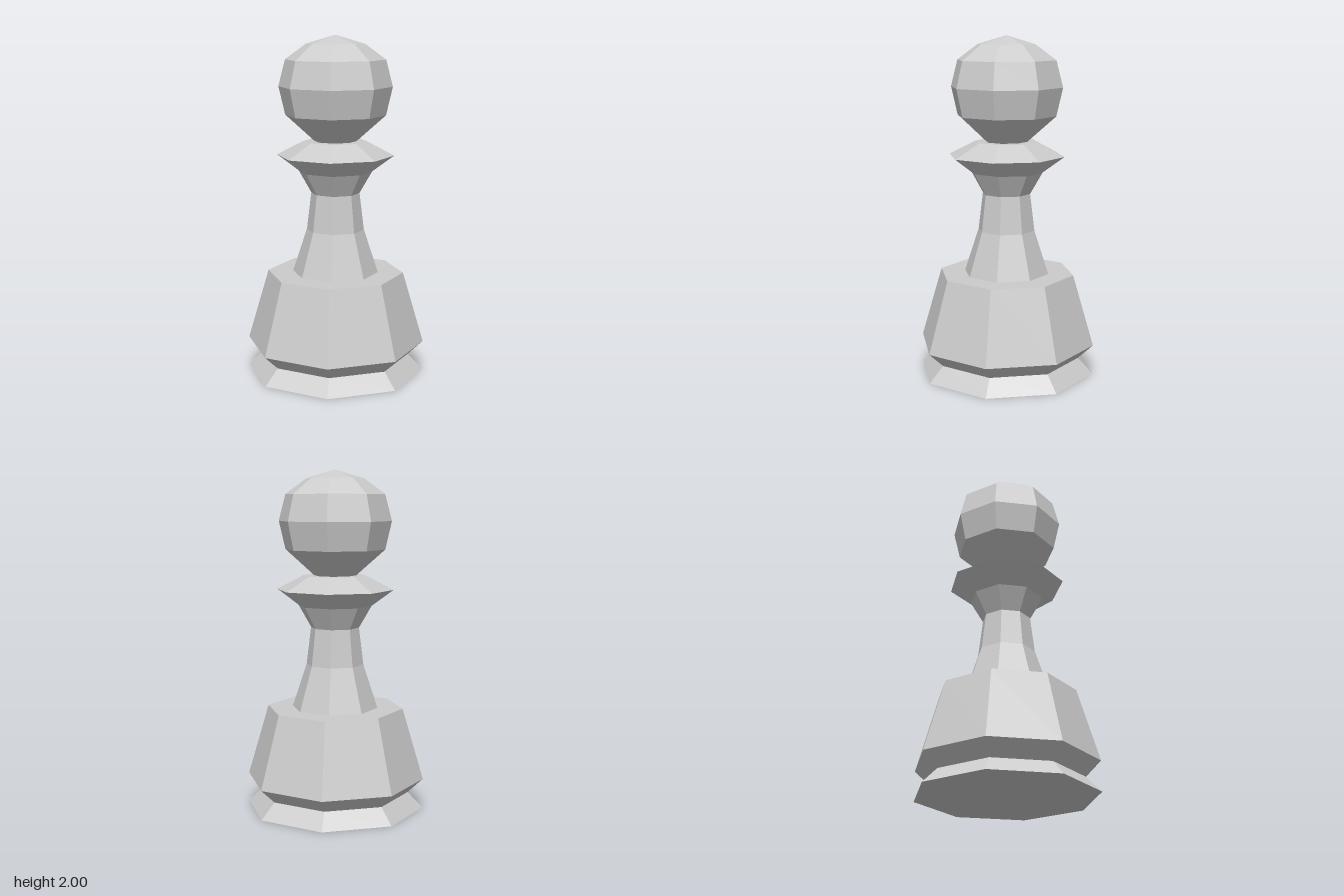
import * as THREE from 'three';

// Every part is an eight-sided turned profile of [radius, height] points, bottom to top.
const PROFILES = {
  base: [[0, 0], [0.53, 0], [0.44, 0.09], [0.53, 0.175], [0.405, 0.6], [0.255, 0.6]],
  stem: [[0.255, 0.6], [0.17, 0.86], [0.143, 1.08], [0.217, 1.21]],
  collar: [[0.217, 1.21], [0.345, 1.305], [0.185, 1.388], [0.125, 1.388]],
  head: [[0.125, 1.388], [0.155, 1.415], [0.295, 1.54], [0.333, 1.705], [0.293, 1.86], [0.17, 1.95], [0, 2]],
};

export function createModel() {
  const group = new THREE.Group();
  group.name = 'pawn';
  const material = new THREE.MeshStandardMaterial({ color: 0xcccccc, flatShading: true });
  for (const [name, profile] of Object.entries(PROFILES)) {
    const points = profile.map(([r, y]) => new THREE.Vector2(r, y));
    const mesh = new THREE.Mesh(new THREE.LatheGeometry(points, 8), material);
    mesh.name = name;
    group.add(mesh);
  }
  return group;
}
